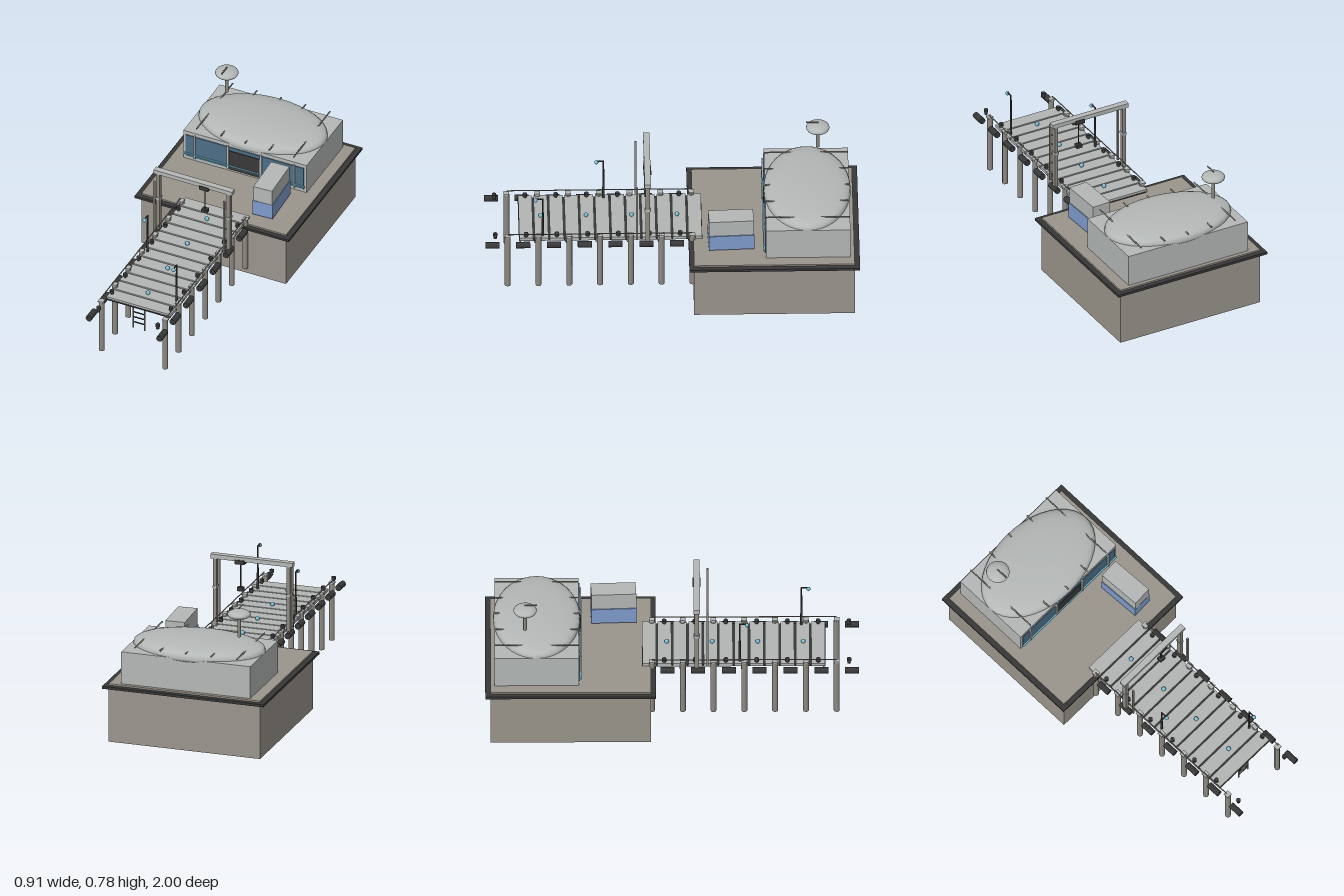
import * as THREE from 'three';

const mat = (name, color) => {
  const m = new THREE.MeshStandardMaterial({ color });
  m.name = name;
  return m;
};

export function createModel() {
  const root = new THREE.Group();
  root.name = 'harbourPier';
  const concrete = mat('concrete', 0x9a958c);
  const panel = mat('palePanel', 0xb4b8b6);
  const plank = mat('deckPlank', 0xb2b6b5);
  const timber = mat('weatheredPost', 0x8e8a82);
  const dark = mat('darkRubber', 0x383838);
  const glass = mat('glass', 0x4c6e86);
  const blue = mat('crateBlue', 0x7f9ccc);
  const cyan = mat('lampCyan', 0x78bfd6);

  const add = (name, geo, m, x, y, z, parent = root) => {
    const mesh = new THREE.Mesh(geo, m);
    mesh.name = name;
    mesh.position.set(x, y, z);
    parent.add(mesh);
    return mesh;
  };
  const box = (name, m, w, h, d, x, y, z, parent) =>
    add(name, new THREE.BoxGeometry(w, h, d), m, x, y, z, parent);
  // Upright cylinder from y0 to y1
  const post = (name, m, rTop, rBottom, x, y0, y1, z, sides = 8) =>
    add(name, new THREE.CylinderGeometry(rTop, rBottom, y1 - y0, sides), m, x, (y0 + y1) / 2, z);
  // Cylinder lying along z
  const rod = (name, m, r, length, x, y, z, sides = 8) =>
    add(name, new THREE.CylinderGeometry(r, r, length, sides).rotateX(Math.PI / 2), m, x, y, z);

  // Quay block and rubber rim
  box('quayBlock', concrete, 0.856, 0.328, 0.858, 0, 0.164, -0.543);
  box('quayRim', dark, 0.912, 0.014, 0.912, 0, 0.312, -0.544);

  // Cabin with glazed front
  const cabinZ = -0.725;
  box('cabin', panel, 0.73, 0.18, 0.45, 0, 0.418, cabinZ);
  box('cabinWindow', glass, 0.7, 0.138, 0.006, 0, 0.417, -0.498);
  box('cabinDoor', dark, 0.178, 0.122, 0.006, 0, 0.404, -0.494);
  for (const x of [-0.295, -0.098, 0.098, 0.295])
    box('windowMullion', panel, 0.01, 0.148, 0.01, x, 0.42, -0.493);
  box('lightStrip', cyan, 0.715, 0.007, 0.008, 0, 0.368, -0.489);

  // Pillow roof: a flattened sphere with a fuller upper half
  const dome = new THREE.SphereGeometry(1, 40, 20);
  const p = dome.attributes.position;
  for (let i = 0; i < p.count; i++) {
    const y = p.getY(i);
    p.setY(i, y > 0 ? Math.pow(y, 0.65) : y);
  }
  dome.scale(0.366, 0.055, 0.233);
  dome.computeVertexNormals();
  add('roofDome', dome, panel, 0, 0.507, cabinZ);
  for (let i = -2; i <= 2; i++)
    rod('roofRib', timber, 0.004, 0.45, i * 0.144, 0.54, cabinZ);

  // Antenna dish
  post('antennaMast', timber, 0.01, 0.01, -0.245, 0.61, 0.73, -0.787);
  add('antennaDish', new THREE.SphereGeometry(1, 20, 12).scale(0.063, 0.025, 0.063), panel, -0.245, 0.738, -0.787);
  rod('antennaFeed', timber, 0.004, 0.065, -0.245, 0.772, -0.757);

  // Stacked crates
  const crates = new THREE.Group();
  crates.name = 'crates';
  crates.position.set(0.246, 0, -0.314);
  crates.rotation.y = 0.045;
  root.add(crates);
  box('lowerCrate', blue, 0.116, 0.09, 0.242, 0, 0.385, 0, crates);
  box('upperCrate', panel, 0.108, 0.092, 0.24, 0, 0.477, 0, crates);

  // Pier deck with dark seams between planks
  box('pierBed', dark, 0.376, 0.008, 0.98, 0, 0.33, 0.328);
  const pitch = 0.985 / 12;
  for (let i = 0; i < 12; i++)
    box('deckPlank', plank, 0.38, 0.016, pitch - 0.009, 0, 0.338, -0.165 + (i + 0.5) * pitch);

  // Piles, fenders, bollards and hand lines on both sides
  for (const s of [-1, 1]) {
    for (let i = 0; i < 7; i++) {
      const dz = -0.1645 * i;
      post('pile', timber, 0.016, 0.016, s * 0.188, 0.035, 0.356, 0.878 + dz);
      box('pileCap', panel, 0.03, 0.008, 0.03, s * 0.19, 0.36, 0.878 + dz);
      rod('fender', dark, 0.0175, 0.075, s * 0.209, 0.315, 0.96 + dz, 12);
      post('bollardStem', dark, 0.008, 0.009, s * 0.175, 0.338, 0.355, 0.944 + dz);
      post('bollardHead', dark, 0.012, 0.012, s * 0.175, 0.352, 0.369, 0.944 + dz, 10);
    }
    rod('handLine', timber, 0.003, 0.985, s * 0.195, 0.374, 0.385, 6);
  }

  // Deck lights
  for (let i = 0; i < 4; i++)
    add('deckLight', new THREE.SphereGeometry(0.012, 14, 10), cyan, 0, 0.355, -0.03 + i * 0.243);

  // Lamp posts with arms reaching forwards
  for (const [x, z] of [[0.165, 0.69], [-0.165, 0.36]]) {
    post('lampPole', dark, 0.004, 0.007, x, 0.34, 0.588, z);
    rod('lampArm', dark, 0.004, 0.042, x, 0.586, z + 0.02);
    add('lampBulb', new THREE.SphereGeometry(0.011, 14, 10), cyan, x, 0.58, z + 0.038);
  }

  // Gantry with hoist
  for (const s of [-1, 1]) {
    box('gantryPost', timber, 0.02, 0.37, 0.026, s * 0.208, 0.52, 0.13);
    box('gantryBrace', timber, 0.01, 0.345, 0.01, s * 0.207, 0.513, 0.188);
    box('gantryCollar', panel, 0.024, 0.014, 0.034, s * 0.208, 0.54, 0.13);
  }
  box('gantryBeam', panel, 0.464, 0.024, 0.034, 0, 0.713, 0.13);
  box('hoistTrolley', dark, 0.054, 0.024, 0.042, 0.066, 0.697, 0.13);
  post('hoistCable', dark, 0.003, 0.003, 0.066, 0.545, 0.69, 0.13, 6);
  box('hoistHook', dark, 0.034, 0.02, 0.03, 0.066, 0.542, 0.13);

  // Boarding ladder under the pier end
  for (const s of [-1, 1]) post('ladderRail', timber, 0.004, 0.004, s * 0.034, 0.186, 0.33, 0.808);
  for (let i = 0; i < 4; i++)
    box('ladderRung', dark, 0.066, 0.005, 0.006, 0, 0.225 + i * 0.033, 0.808);

  return root;
}
